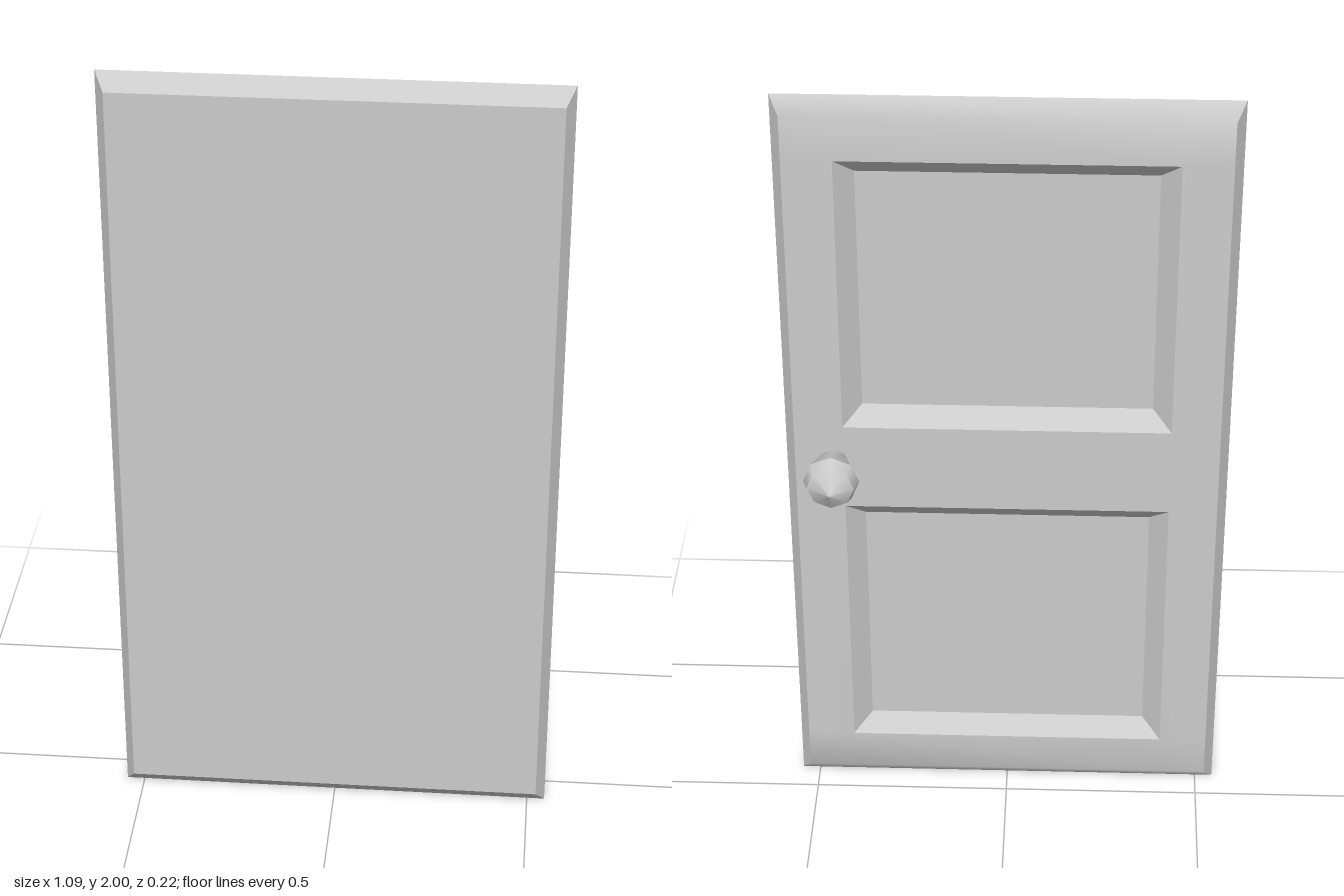
import * as THREE from 'three';

const material = new THREE.MeshStandardMaterial({ color: 0xcccccc });

// Rectangle facing +z, corners counter-clockwise from the front
function rect(hx, y0, y1, z) {
  return [[-hx, y0, z], [hx, y0, z], [hx, y1, z], [-hx, y1, z]];
}

// Flat-shaded quads; flip turns them to face the back
function quadMesh(name, quads, flip) {
  const pos = [];
  for (const q of quads) {
    const order = flip ? [0, 2, 1, 0, 3, 2] : [0, 1, 2, 0, 2, 3];
    for (const i of order) pos.push(...q[i]);
  }
  const g = new THREE.BufferGeometry();
  g.setAttribute('position', new THREE.Float32BufferAttribute(pos, 3));
  g.computeVertexNormals();
  const mesh = new THREE.Mesh(g, material);
  mesh.name = name;
  return mesh;
}

// Sloped sides joining two rectangles (0 bottom, 1 right, 2 top, 3 left)
function slopes(a, b, sides = [0, 1, 2, 3]) {
  return sides.map((i) => {
    const j = (i + 1) % 4;
    return [a[i], a[j], b[j], b[i]];
  });
}

// Back frame with two openings, smoothly shaded into its top and bottom bevels
function backFrame() {
  const xs = [-0.522, -0.402, 0.402, 0.522];
  const ys = [0, 0.04, 0.151, 0.883, 1.117, 1.849, 1.96, 2];
  const pos = [], index = [];
  ys.forEach((y, r) => xs.forEach((x, c) => {
    const ridge = r === 0 || r === 7;
    const outer = c === 0 || c === 3;
    const rim = outer || r === 1 || r === 6;
    pos.push(ridge && outer ? Math.sign(x) * 0.545 : x, y, ridge ? 0.075 : rim ? 0.04 : 0.036);
  }));
  for (let r = 0; r < 7; r++) {
    for (let c = 0; c < 3; c++) {
      if (c === 1 && (r === 2 || r === 4)) continue; // panel openings
      const a = r * 4 + c, b = a + 1, d = a + 4, e = a + 5;
      index.push(a, e, b, a, d, e);
    }
  }
  const g = new THREE.BufferGeometry();
  g.setAttribute('position', new THREE.Float32BufferAttribute(pos, 3));
  g.setIndex(index);
  g.computeVertexNormals();
  const mesh = new THREE.Mesh(g, material);
  mesh.name = 'backFrame';
  return mesh;
}

// Eight-sided knob pointing to the back, made of three bands
function createKnob() {
  const knob = new THREE.Group();
  knob.name = 'knob';
  const profile = [[0.037, 0], [0.069, 0.083], [0.058, 0.114], [0, 0.151]];
  const names = ['knobNeck', 'knobRim', 'knobCap'];
  names.forEach((name, i) => {
    const [r0, h0] = profile[i], [r1, h1] = profile[i + 1];
    const g = new THREE.CylinderGeometry(r1, r0, h1 - h0, 8, 1, i > 0);
    g.translate(0, (h0 + h1) / 2, 0);
    const band = new THREE.Mesh(g, material);
    band.name = name;
    knob.add(band);
  });
  knob.rotation.x = -Math.PI / 2;
  knob.position.set(0.426, 1.013, 0.038);
  return knob;
}

export function createModel() {
  const door = new THREE.Group();
  door.name = 'door';

  // Front face and bevelled edges
  const ridge = rect(0.545, 0, 2, 0.075);
  const front = rect(0.522, 0.04, 1.96, 0.111);
  const back = rect(0.522, 0.04, 1.96, 0.04);
  door.add(quadMesh('frontFace', [front], false));
  door.add(quadMesh('frontBevel', slopes(ridge, front), false));
  door.add(quadMesh('backSideBevel', slopes(ridge, back, [1, 3]), true));
  door.add(backFrame());

  // Two recessed panels on the back
  [['lowerPanel', 0.151, 0.883], ['upperPanel', 1.117, 1.849]].forEach(([name, y0, y1]) => {
    const outer = rect(0.402, y0, y1, 0.036);
    const inner = rect(0.355, y0 + 0.045, y1 - 0.045, 0.076);
    door.add(quadMesh(name, [inner, ...slopes(outer, inner)], true));
  });

  door.add(createKnob());
  return door;
}
